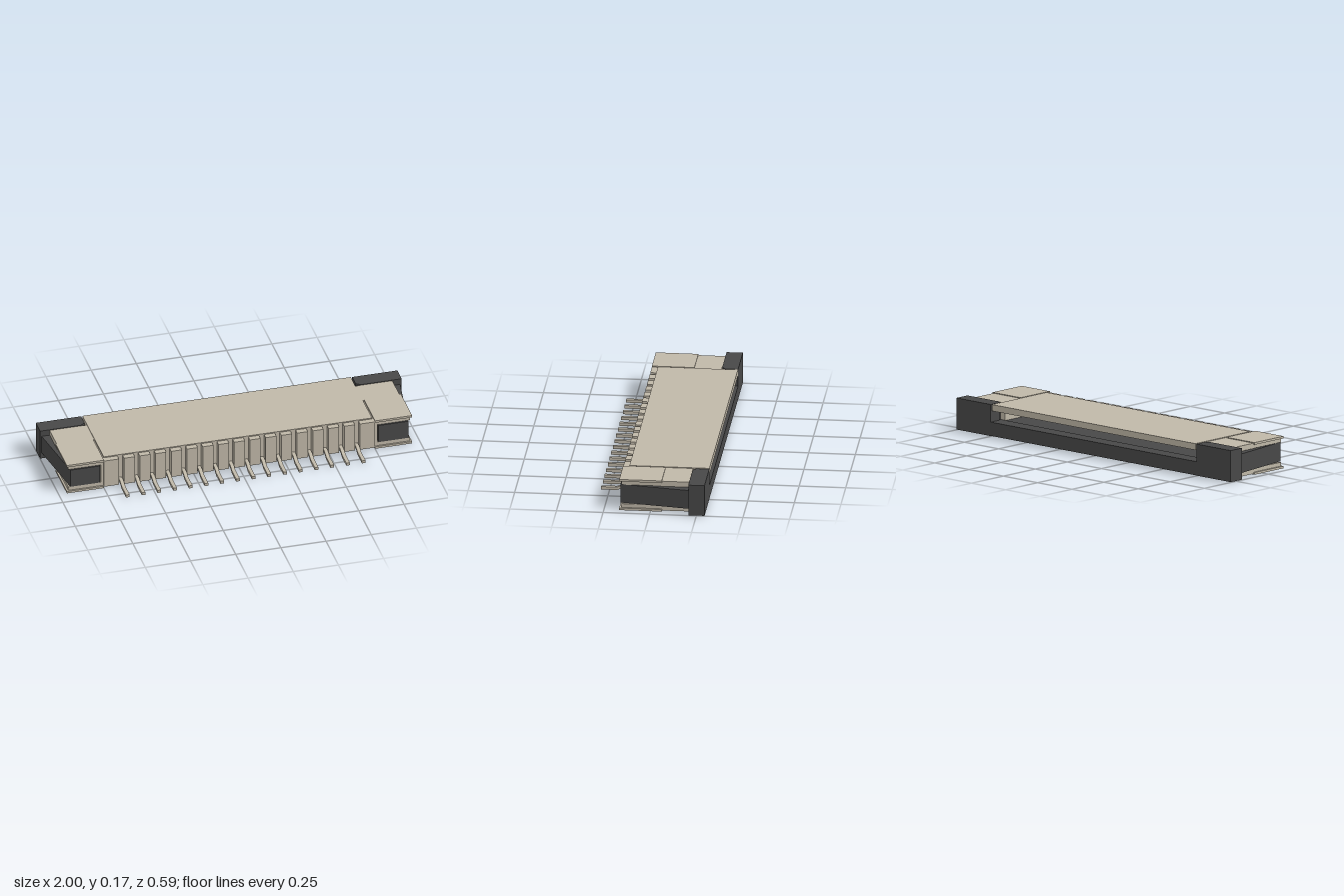
import * as THREE from 'three';

export function createModel() {
  const root = new THREE.Group();
  root.name = 'flatCableConnector';
  const beige = new THREE.MeshStandardMaterial({ color: 0xc0b8a8 });
  beige.name = 'beige plastic';
  const dark = new THREE.MeshStandardMaterial({ color: 0x484848 });
  dark.name = 'dark grey plastic';

  // box given by its minimum and maximum on each axis
  function box(name, mat, x0, x1, y0, y1, z0, z1, parent = root) {
    const m = new THREE.Mesh(new THREE.BoxGeometry(x1 - x0, y1 - y0, z1 - z0), mat);
    m.position.set((x0 + x1) / 2, (y0 + y1) / 2, (z0 + z1) / 2);
    m.name = name;
    parent.add(m);
    return m;
  }

  // outline in plan [x, z], raised from y0 to y1
  function plan(name, mat, pts, y0, y1) {
    const shape = new THREE.Shape(pts.map(([x, z]) => new THREE.Vector2(x, -z)));
    const geo = new THREE.ExtrudeGeometry(shape, { depth: y1 - y0, bevelEnabled: false });
    geo.rotateX(-Math.PI / 2);
    geo.translate(0, y0, 0);
    const m = new THREE.Mesh(geo, mat);
    m.name = name;
    root.add(m);
  }

  // housing: roof, floor and inner front wall
  box('housingRoof', beige, -0.742, 0.742, 0.14, 0.175, -0.294, 0.135);
  box('housingFloor', beige, -0.75, 0.75, 0.002, 0.035, -0.207, 0.135);
  box('innerFrontWall', beige, -0.75, 0.75, 0.035, 0.14, 0.09, 0.135);

  // comb of teeth along the front, with a pin in every gap
  const count = 16, pitch = 0.087, first = -pitch * (count - 1) / 2, gap = 0.014;
  for (let i = 0; i <= count; i++) {
    const x0 = i === 0 ? -0.75 : first + (i - 1) * pitch + gap;
    const x1 = i === count ? 0.75 : first + i * pitch - gap;
    box('frontTooth', beige, x0, x1, 0.008, 0.169, 0.13, 0.168);
  }

  // pins: bent solder tail in side profile [z, y], extruded across x
  const tail = [[0.295, 0.002], [0.295, 0.018], [0.21, 0.018], [0.172, 0.033],
    [0.12, 0.033], [0.12, 0.016], [0.18, 0.016], [0.21, 0.002]];
  const pinGeo = new THREE.ExtrudeGeometry(
    new THREE.Shape(tail.map(([z, y]) => new THREE.Vector2(-z, y))),
    { depth: 0.02, bevelEnabled: false });
  pinGeo.translate(0, 0, -0.01);
  pinGeo.rotateY(Math.PI / 2);
  for (let i = 0; i < count; i++) {
    const pin = new THREE.Group();
    pin.name = 'contactPin';
    pin.position.x = first + i * pitch;
    const tailMesh = new THREE.Mesh(pinGeo, beige);
    tailMesh.name = 'pinTail';
    pin.add(tailMesh);
    box('contactBeam', beige, -0.01, 0.01, 0.115, 0.14, -0.2, 0.09, pin);
    root.add(pin);
  }

  // slider: rear bar and the tongue inside the housing
  box('sliderBar', dark, -0.76, 0.76, 0.003, 0.078, -0.294, -0.207);
  box('sliderTongue', dark, -0.73, 0.73, 0.036, 0.075, -0.207, -0.05);

  for (const s of [-1, 1]) {
    const side = (pts) => pts.map(([x, z]) => [x * s, z]);
    const bx = (name, mat, a, b, ...rest) =>
      box(name, mat, Math.min(a * s, b * s), Math.max(a * s, b * s), ...rest);

    // cheek beside the cable opening
    bx('housingCheek', beige, 0.735, 0.765, 0.01, 0.165, -0.2, 0.16);

    // guide plates above and below the arm, mirrored about mid height
    for (const flip of [false, true]) {
      const ys = (a, b) => flip ? [0.175 - b, 0.175 - a] : [a, b];
      bx('guidePlate', beige, 0.742, 0.945, ...ys(0.142, 0.164), -0.06, 0.158);
      bx('guidePlateRear', beige, 0.742, 0.948, ...ys(0.142, 0.171), -0.206, -0.055);
      bx('guidePad', beige, 0.75, 0.955, ...ys(0.163, 0.175), -0.06, 0.168);
    }

    // tapered slider arm
    plan('sliderArm', dark, side([[0.77, 0.164], [0.935, 0.164], [0.992, -0.21], [0.77, -0.21]]),
      0.036, 0.14);

    // end block with chamfered inner front corner
    plan('sliderEndBlock', dark, side([[0.75, -0.294], [1, -0.294], [1, -0.207],
      [0.775, -0.207], [0.75, -0.225]]), 0.002, 0.174);
  }
  return root;
}
